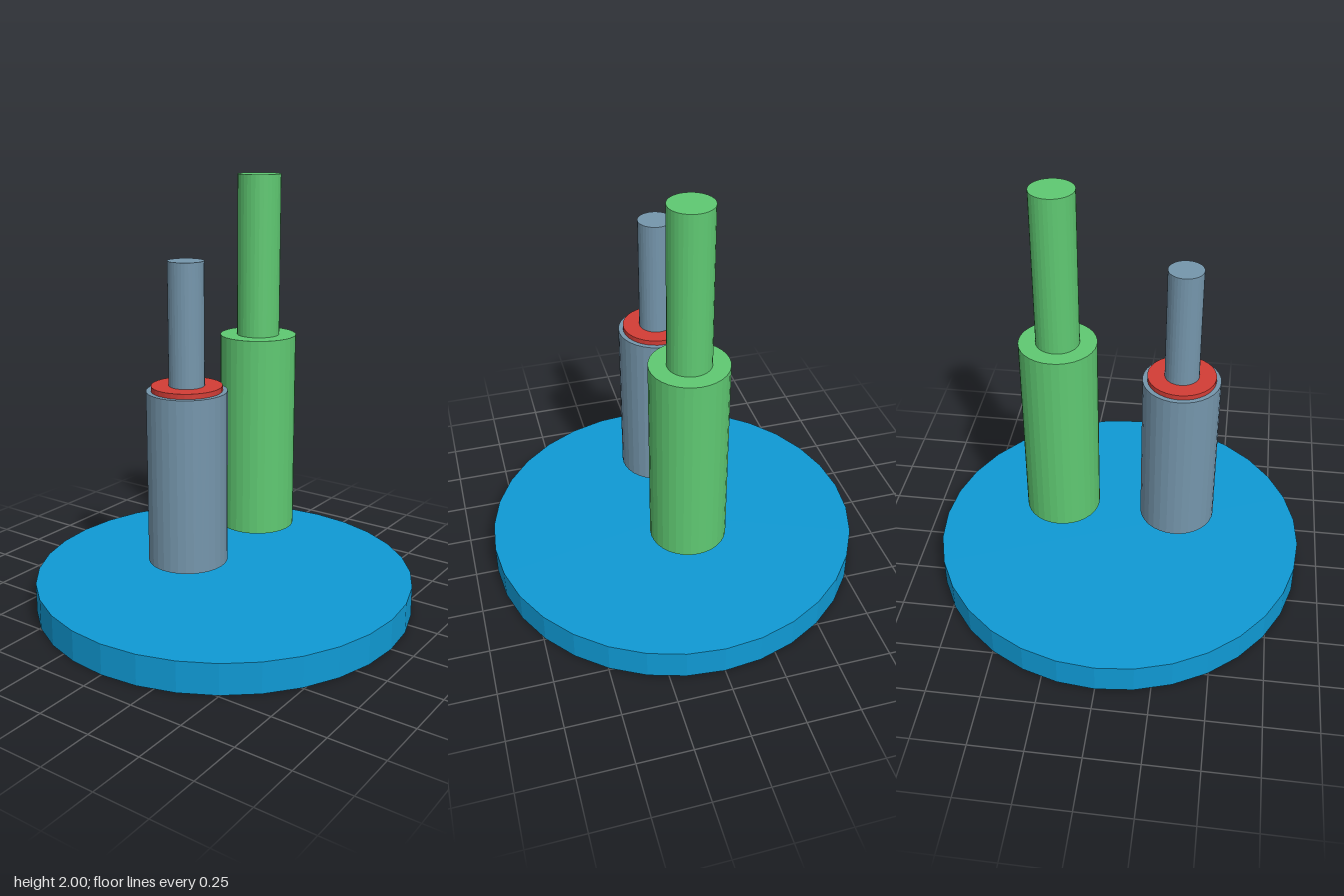
import * as THREE from 'three';

const SIDES = 32;

function material(name, color) {
  const m = new THREE.MeshStandardMaterial({ color, flatShading: true });
  m.name = name;
  return m;
}

// Upright cylinder between two heights
function addCylinder(parent, name, mat, radius, bottom, top) {
  const height = top - bottom;
  const mesh = new THREE.Mesh(new THREE.CylinderGeometry(radius, radius, height, SIDES), mat);
  mesh.name = name;
  mesh.position.y = bottom + height / 2;
  parent.add(mesh);
}

export function createModel() {
  const blue = material('blue', 0x0f9ad5);
  const slate = material('slate', 0x7596ac);
  const green = material('green', 0x5fc972);
  const red = material('red', 0xd33d36);

  const model = new THREE.Group();
  model.name = 'twoPostsOnDisc';

  // Round base
  addCylinder(model, 'base', blue, 0.893, 0, 0.143);

  // Short post with a red collar, floating over the base
  const shortPost = new THREE.Group();
  shortPost.name = 'shortPost';
  shortPost.position.x = -0.283;
  addCylinder(shortPost, 'shortPostBody', slate, 0.179, 0.31, 1.098);
  addCylinder(shortPost, 'collar', red, 0.157, 1.098, 1.121);
  addCylinder(shortPost, 'shortPostRod', slate, 0.079, 1.121, 1.664);
  model.add(shortPost);

  // Tall post
  const tallPost = new THREE.Group();
  tallPost.name = 'tallPost';
  tallPost.position.x = 0.281;
  addCylinder(tallPost, 'tallPostBody', green, 0.179, 0.31, 1.255);
  addCylinder(tallPost, 'tallPostRod', green, 0.1, 1.255, 2);
  model.add(tallPost);

  return model;
}
